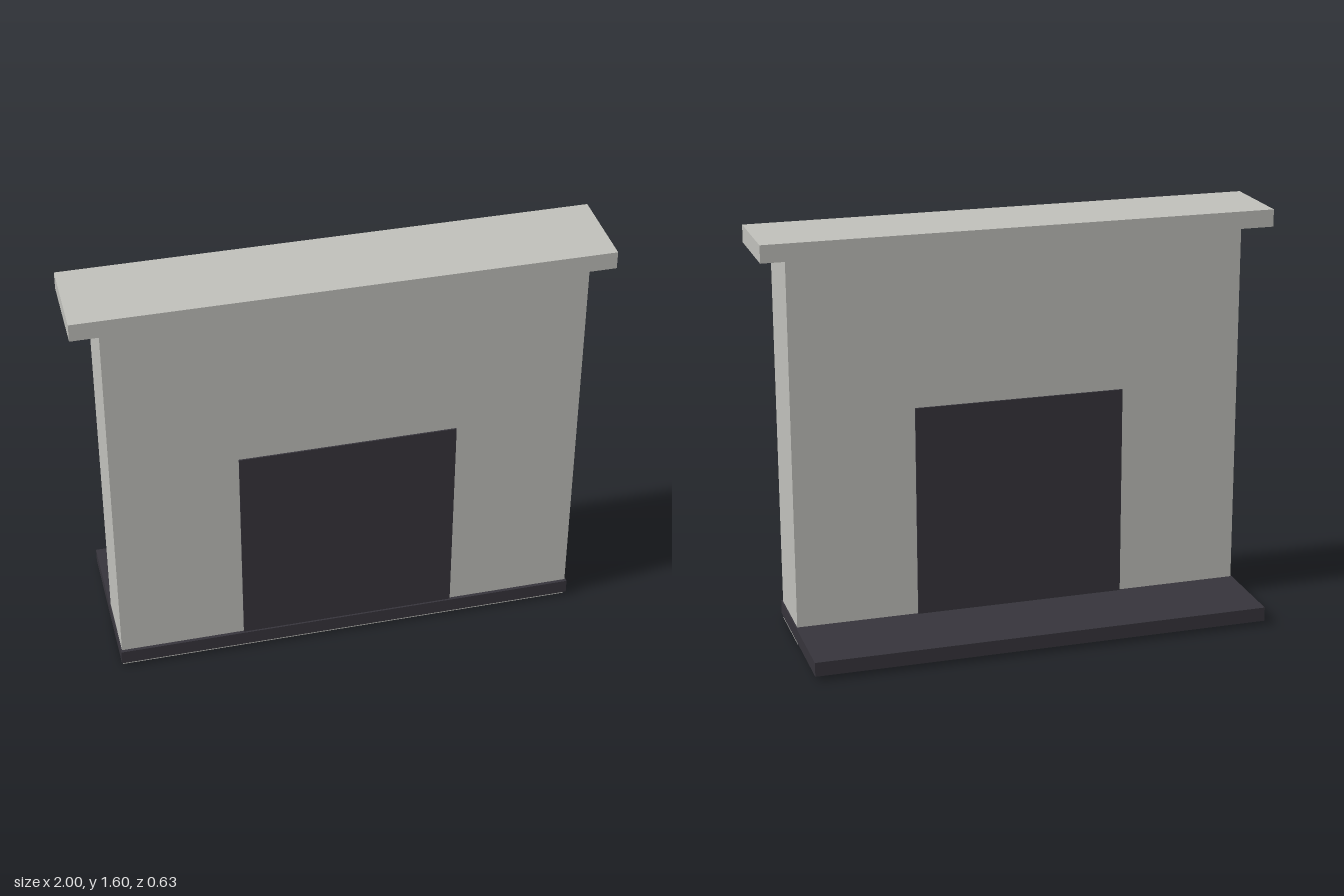
import * as THREE from 'three';

export function createModel() {
  const model = new THREE.Group();
  model.name = 'fireplace';

  const stone = new THREE.MeshStandardMaterial({ color: 0xbfbfba });
  stone.name = 'pale stone';
  const slate = new THREE.MeshStandardMaterial({ color: 0x36343b });
  slate.name = 'dark slate';

  // Box given by its half width and its extents in y and z
  function block(name, material, halfWidth, [y0, y1], [z0, z1]) {
    const mesh = new THREE.Mesh(new THREE.BoxGeometry(halfWidth * 2, y1 - y0, z1 - z0), material);
    mesh.position.set(0, (y0 + y1) / 2, (z0 + z1) / 2);
    mesh.name = name;
    model.add(mesh);
  }

  // Chimney breast and the overhanging shelf
  block('chimneyBreast', stone, 0.896, [0, 1.535], [0.029, 0.304]);
  block('mantelShelf', stone, 1, [1.535, 1.603], [-0.041, 0.304]);

  // Opening panel runs through the wall and stands slightly proud on both faces
  block('fireOpening', slate, 0.416, [0.011, 0.913], [0.022, 0.31]);

  // Hearth slab wraps the foot of the wall and extends behind it
  block('hearthSlab', slate, 0.901, [0.016, 0.072], [-0.317, 0.317]);

  return model;
}
